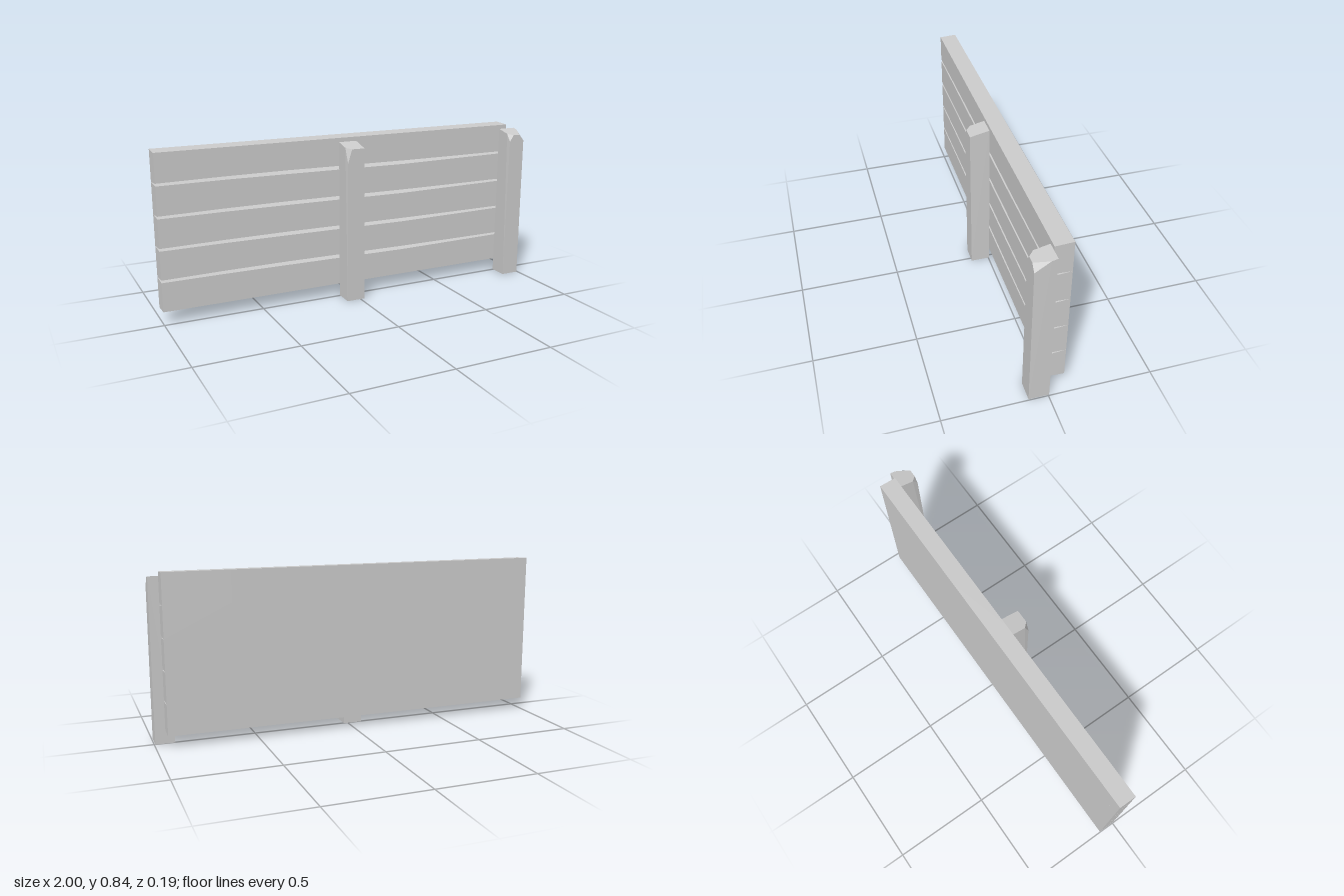
import * as THREE from 'three';
import { ConvexGeometry } from 'three/addons/geometries/ConvexGeometry.js';

const material = new THREE.MeshStandardMaterial({ color: 0xcccccc, flatShading: true });

// Board whose front edges are worn back, most strongly near x = peak
function board(index) {
  const height = 0.156, bottom = 0.061 + index * height;
  const geometry = new THREE.BoxGeometry(1.945, height, 0.087, 6, 1, 1);
  geometry.translate(-0.0275, bottom + height / 2, -0.0485);
  const pos = geometry.attributes.position;
  for (let i = 0; i < pos.count; i++) {
    if (pos.getZ(i) < -0.05) continue;
    const isTop = pos.getY(i) > bottom + height / 2;
    const outer = (isTop && index === 4) || (!isTop && index === 0);
    const peak = isTop ? 0.3 : -0.5;
    const bow = outer ? 0 : 0.009 * Math.max(0, 1 - Math.abs(pos.getX(i) - peak) / 0.9);
    const inset = 0.0045 + bow;
    pos.setY(i, pos.getY(i) + (isTop ? -inset : inset));
  }
  const mesh = new THREE.Mesh(geometry, material);
  mesh.name = 'board' + (index + 1);
  return mesh;
}

// Square post with a sloping top and chipped front corners
function post(name, x, leftCut, rightCut) {
  const w = 0.0475, back = -0.005, front = 0.093;
  const topY = z => 0.815 - (z - back) * 0.23;
  const points = [];
  const add = (px, y, z) => points.push(new THREE.Vector3(px, y, z));
  for (const side of [-1, 1]) {
    add(side * w, 0, back);
    add(side * w, 0, front);
    add(side * w, topY(back), back);
    const cut = side < 0 ? leftCut : rightCut;
    if (cut) {
      add(side * (w - 0.003), topY(front) - cut.down, front);
      add(side * (w - cut.across), topY(front), front);
      add(side * w, topY(front - cut.deep), front - cut.deep);
    } else {
      add(side * (w - 0.002), topY(front), front);
    }
  }
  const mesh = new THREE.Mesh(new ConvexGeometry(points), material);
  mesh.name = name;
  mesh.position.x = x;
  return mesh;
}

export function createModel() {
  const fence = new THREE.Group();
  fence.name = 'fence';

  // Five stacked boards, touching at the back
  const boards = new THREE.Group();
  boards.name = 'boards';
  for (let i = 0; i < 5; i++) boards.add(board(i));
  fence.add(boards);

  // Posts in front of the boards
  fence.add(post('middlePost', -0.0265, { across: 0.025, down: 0.07, deep: 0.025 }, null));
  fence.add(post('endPost', 0.9475,
    { across: 0.025, down: 0.035, deep: 0.025 },
    { across: 0.03, down: 0.033, deep: 0.07 }));
  return fence;
}
